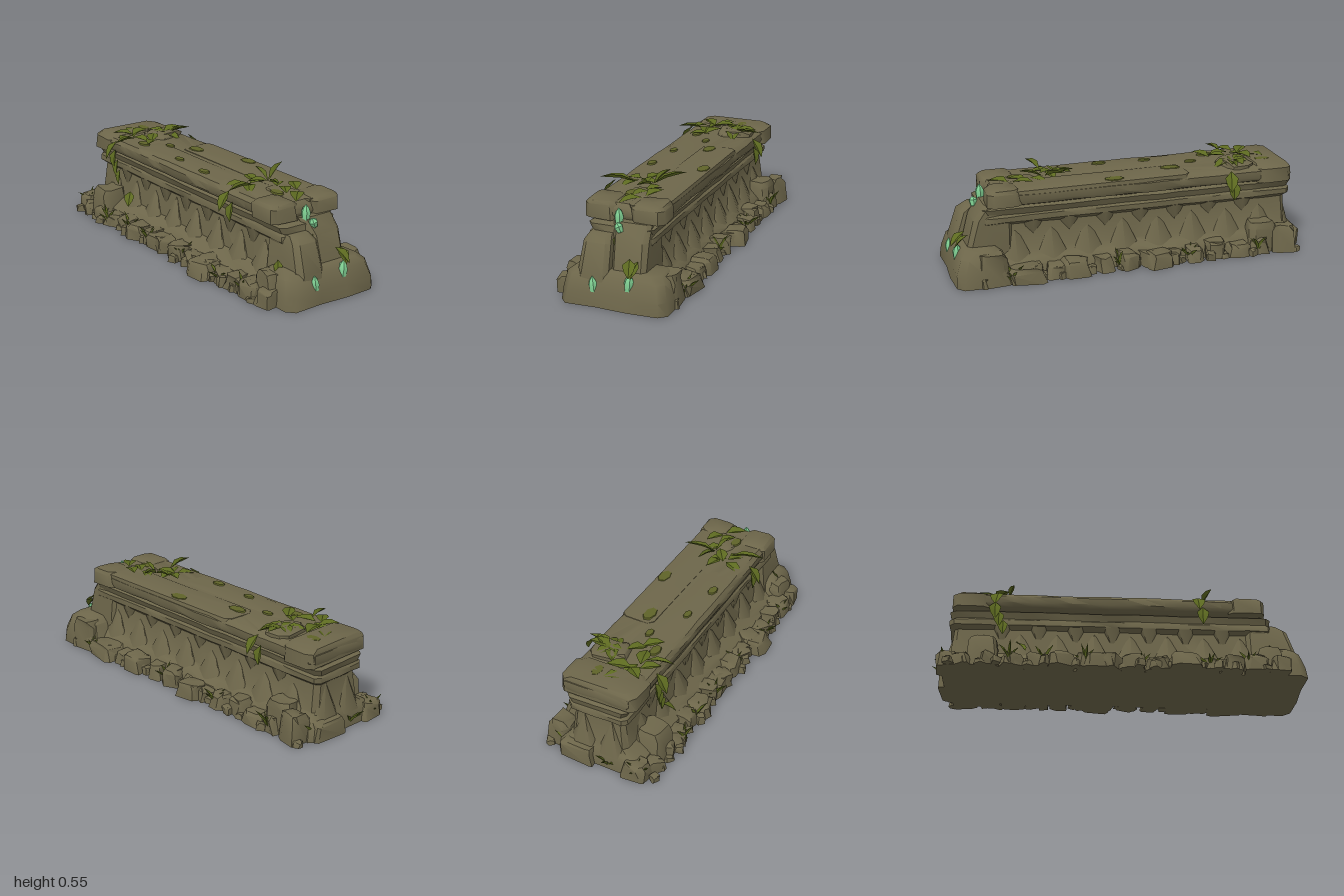
import * as THREE from 'three';
import { mergeGeometries, toCreasedNormals } from 'three/addons/utils/BufferGeometryUtils.js';

const mat = (name, color, side = THREE.FrontSide) => {
  const m = new THREE.MeshStandardMaterial({ color, side });
  m.name = name;
  return m;
};

// Small seeded generator
let seed = 7;
const rnd = () => (seed = (seed * 16807) % 2147483647) / 2147483647;
const jit = (a) => (rnd() - 0.5) * 2 * a;

// Plan outline: a rectangle with cut corners and subdivided sides
function ring(x0, x1, z0, z1, c, nx, nz) {
  const p = [];
  const side = (ax, az, bx, bz, n) => {
    for (let i = 0; i <= n; i++) p.push([ax + (bx - ax) * i / n, az + (bz - az) * i / n]);
  };
  side(x1, z0 + c, x1, z1 - c, nz);
  side(x1 - c, z1, x0 + c, z1, nx);
  side(x0, z1 - c, x0, z0 + c, nz);
  side(x0 + c, z0, x1 - c, z0, nx);
  return p;
}

// Stack of plan outlines; levels are [y, x0, x1, z0, z1]
function loft(levels, { c = 0.02, nx = 1, nz = 1, j = 0, jy = 0, crease = 0.7 } = {}) {
  const rows = levels.map(([y, a, b, d, e], k) => ring(a, b, d, e, c, nx, nz)
    .map(([x, z]) => [x + jit(j), y + (k ? jit(jy) : 0), z + jit(j)]));
  const v = [], n = rows[0].length;
  const middle = (l) => [(l[1] + l[2]) / 2, l[0], (l[3] + l[4]) / 2];
  const bottom = middle(levels[0]), top = middle(levels[levels.length - 1]);
  const last = rows[rows.length - 1];
  for (let i = 0; i < n; i++) {
    const q = (i + 1) % n;
    for (let k = 0; k < rows.length - 1; k++) {
      const a = rows[k][i], b = rows[k + 1][i], d = rows[k + 1][q], e = rows[k][q];
      v.push(...a, ...b, ...d, ...a, ...d, ...e);
    }
    v.push(...top, ...last[q], ...last[i], ...bottom, ...rows[0][i], ...rows[0][q]);
  }
  const g = new THREE.BufferGeometry();
  g.setAttribute('position', new THREE.Float32BufferAttribute(v, 3));
  return toCreasedNormals(g, crease);
}

// Worn block standing at (x, y, z)
function block(x, y, z, w, h, d, turn = 0, taper = 0.08, rough = 0.012) {
  const lv = (t, s) => [h * t, -w / 2 * s, w / 2 * s, -d / 2 * s, d / 2 * s];
  const g = loft([lv(0, 1), lv(0.8, 1 - taper), lv(1, 0.85 - taper)],
    { c: Math.min(w, d) * 0.15, j: rough, jy: rough * 0.5, crease: 0.8 });
  return g.rotateY(turn).translate(x, y, z);
}

// Folded, drooping leaf along local +z
function leaf(x, y, z, yaw, pitch, len, wide = 0.3) {
  const w = len * wide, P = [
    [0, 0, 0], [-w, len * 0.08, len * 0.4], [0, -len * 0.04, len * 0.45],
    [w, len * 0.08, len * 0.4], [-w * 0.75, 0, len * 0.7], [w * 0.75, 0, len * 0.7], [0, -len * 0.18, len]];
  const g = new THREE.BufferGeometry();
  const F = [0, 1, 2, 0, 2, 3, 1, 4, 2, 2, 5, 3, 4, 6, 2, 2, 6, 5];
  g.setAttribute('position', new THREE.Float32BufferAttribute(F.flatMap((i) => P[i]), 3));
  g.computeVertexNormals();
  return g.rotateX(pitch).rotateY(yaw).translate(x, y, z);
}

export function createModel() {
  seed = 7;
  const root = new THREE.Group();
  const stone = mat('weathered stone', 0x6d664a);
  const green = mat('olive leaf', 0x5d6a20, THREE.DoubleSide);
  const moss = mat('moss', 0x5f6328);
  const jade = mat('pale green crystal', 0x7fcf92);
  const add = (name, geos, m) => {
    const mesh = new THREE.Mesh(mergeGeometries(geos), m);
    mesh.name = name;
    root.add(mesh);
  };

  // Wall core: plinth, recessed waist, belt moulding and coping
  add('wall', [loft([
    [0, -0.96, 0.95, -0.25, 0.24], [0.07, -0.955, 0.94, -0.24, 0.23],
    [0.1, -0.94, 0.9, -0.21, 0.19], [0.13, -0.92, 0.88, -0.18, 0.15],
    [0.28, -0.91, 0.84, -0.165, 0.13], [0.3, -0.935, 0.83, -0.19, 0.155],
    [0.33, -0.935, 0.83, -0.19, 0.155], [0.34, -0.925, 0.82, -0.18, 0.145],
    [0.375, -0.935, 0.82, -0.195, 0.16], [0.385, -0.915, 0.78, -0.175, 0.14],
    [0.4, -0.92, 0.77, -0.215, 0.175], [0.42, -0.925, 0.78, -0.225, 0.19],
    [0.455, -0.92, 0.77, -0.225, 0.19], [0.475, -0.9, 0.75, -0.2, 0.17]],
  { c: 0.025, nx: 16, nz: 4, j: 0.003, jy: 0.002 })], stone);

  // Coping slabs, end caps and broken ends
  add('coping', [
    block(-0.82, 0.39, -0.02, 0.2, 0.095, 0.44, 0, 0.02, 0.006),
    block(-0.62, 0.44, -0.1, 0.16, 0.06, 0.2, 0.1),
    block(0.22, 0.45, -0.125, 1.1, 0.034, 0.19, 0, 0.01, 0.005),
    block(-0.1, 0.45, 0.08, 0.8, 0.028, 0.18, 0, 0.01, 0.005),
    block(0.69, 0.39, 0.11, 0.2, 0.093, 0.17, 0, 0.02, 0.006),
    block(0.71, 0.4, -0.15, 0.18, 0.085, 0.18, 0, 0.02, 0.006),
    block(0.58, 0.43, -0.04, 0.2, 0.055, 0.16, 0.1)], stone);

  // Fan-shaped relief along both long faces and the intact end
  const fans = [];
  for (const [s, z] of [[1, 0.145], [-1, -0.175]]) {
    for (let i = 0; i < 8; i++) {
      const x = -0.75 + i * 0.2;
      const up = new THREE.ConeGeometry(0.105, 0.2, 6, 1).scale(1, 1, 0.5);
      fans.push(up.rotateX(-s * 0.1).translate(x, 0.18, z - s * 0.01));
      const rib = new THREE.ConeGeometry(0.06, 0.13, 5, 1).rotateX(Math.PI).scale(1, 1, 0.5);
      fans.push(rib.translate(x + 0.1, 0.235, z - s * 0.015));
    }
  }
  for (const z of [-0.1, 0.06]) {
    fans.push(new THREE.ConeGeometry(0.1, 0.2, 6, 1).scale(0.5, 1, 1).translate(-0.91, 0.18, z));
  }
  add('reliefFans', fans, stone);

  // Collapsed end: broad footing with two leaning piers
  add('collapsedEnd', [
    loft([[0, 0.68, 0.995, -0.335, 0.25], [0.07, 0.7, 0.985, -0.33, 0.24],
      [0.15, 0.73, 0.96, -0.31, 0.22], [0.18, 0.76, 0.93, -0.27, 0.18]],
    { c: 0.04, nx: 2, nz: 3, j: 0.006, crease: 0.9 }),
    loft([[0, 0.68, 0.98, -0.01, 0.19], [0.16, 0.68, 0.96, -0.005, 0.16],
      [0.31, 0.68, 0.91, 0, 0.15], [0.34, 0.68, 0.87, 0.015, 0.135]], { c: 0.025, j: 0.004 }),
    loft([[0, 0.66, 0.95, -0.2, 0], [0.18, 0.66, 0.91, -0.19, 0],
      [0.32, 0.66, 0.87, -0.185, 0.01], [0.4, 0.66, 0.81, -0.18, 0.03]], { c: 0.025, j: 0.004 })], stone);

  // Large fallen blocks: x, z, width, height, depth
  add('fallenBlocks', [
    [-0.74, 0.21, 0.17, 0.18, 0.15], [-0.74, -0.23, 0.16, 0.17, 0.14],
    [-0.93, 0.21, 0.11, 0.09, 0.13], [-0.94, -0.12, 0.1, 0.1, 0.2],
    [-0.86, -0.27, 0.13, 0.15, 0.12], [-0.13, 0.26, 0.15, 0.08, 0.12],
    [0.33, 0.28, 0.16, 0.08, 0.16], [0.8, 0.22, 0.14, 0.16, 0.1],
    [-0.12, -0.29, 0.15, 0.08, 0.13], [0.35, -0.28, 0.14, 0.09, 0.13],
    [0.62, -0.29, 0.19, 0.08, 0.13], [0.8, -0.28, 0.16, 0.17, 0.11]]
    .map(([x, z, w, h, d]) => block(x, 0, z, w, h, d, jit(0.12))), stone);

  // Rubble and chips strewn along both sides
  const rubble = [], chips = [];
  for (const s of [1, -1]) {
    for (let i = 0; i < 14; i++) {
      rubble.push(block(-0.85 + i * 0.13, 0, s * (0.25 + jit(0.015)),
        0.11 + jit(0.02), 0.08 + jit(0.015), 0.12 + jit(0.02), jit(0.5)));
    }
    for (let i = 0; i < 22; i++) {
      chips.push(block(-0.92 + i * 0.084, 0, s * (0.27 + rnd() * 0.05),
        0.05, 0.025 + rnd() * 0.03, 0.045, rnd() * 3, 0.1, 0.006));
    }
  }
  add('rubble', rubble, stone);
  add('stoneChips', chips, stone);

  // Leaf rosettes on the coping: x, y, z, count
  const leaves = [];
  for (const [x, y, z, n] of [[-0.68, 0.485, 0.08, 5], [-0.61, 0.495, -0.11, 7], [-0.53, 0.485, 0.03, 2],
    [-0.82, 0.485, -0.05, 1], [0.4, 0.485, 0.04, 5], [0.53, 0.485, -0.05, 2], [0.65, 0.485, -0.06, 2]]) {
    for (let k = 0; k < n; k++) {
      leaves.push(leaf(x + jit(0.025), y, z + jit(0.025), k * 6.28 / n + 0.8 + jit(0.3), -0.15 + jit(0.2), 0.12 + jit(0.015)));
    }
  }
  // Leaves hanging over the edges: x, side, count
  for (const [x, s, n] of [[-0.67, 1, 4], [0.42, 1, 2], [-0.56, -1, 2]]) {
    for (let k = 0; k < n; k++) {
      leaves.push(leaf(x + jit(0.03), 0.475 - k * 0.055, s > 0 ? 0.19 : -0.23,
        (s > 0 ? 0 : Math.PI) + jit(0.3), 0.8 + Math.min(k, 1) * 0.45, 0.12 - k * 0.01));
    }
  }
  // Single leaves at the collapsed end and the foot
  leaves.push(leaf(0.83, 0.36, -0.035, 1.57, 1.1, 0.12), leaf(0.91, 0.25, -0.11, 1.9, 0.5, 0.11),
    leaf(0.9, 0.24, -0.15, 1.4, 0.6, 0.1), leaf(0.8, 0.21, 0.17, 0.9, 0.9, 0.08), leaf(-0.57, 0.19, 0.17, 0.8, 0.6, 0.1));
  add('leaves', leaves, green);

  // Long arching blades on the coping
  add('archingBlades', [
    leaf(0.45, 0.49, -0.04, 3.6, -0.5, 0.18, 0.09), leaf(0.45, 0.49, -0.04, 4.5, -0.4, 0.16, 0.09),
    leaf(0.46, 0.49, -0.04, 1.3, -0.4, 0.13, 0.1), leaf(0.45, 0.49, 0.06, 0.2, -0.25, 0.19, 0.09),
    leaf(-0.62, 0.49, 0.1, 0.2, -0.2, 0.15, 0.1), leaf(-0.6, 0.49, -0.12, 3, -0.3, 0.14, 0.1)], green);

  // Grass tufts at the foot
  const blades = [];
  for (const [x, z] of [[-0.95, 0.22], [-0.95, 0.05], [-0.93, -0.2], [-0.6, 0.31], [-0.42, 0.28], [-0.2, 0.29],
    [0.1, 0.27], [0.46, 0.29], [0.67, 0.29], [0.7, -0.32], [0.1, -0.28], [-0.3, -0.29], [-0.7, -0.3]]) {
    for (let k = 0; k < 6; k++) {
      blades.push(leaf(x, 0.015, z, k * 1.05 + rnd(), -1.1 + jit(0.25), 0.07 + rnd() * 0.05, 0.08));
    }
  }
  add('grassTufts', blades, green);

  // Moss patches on the coping
  add('mossPatches', [[-0.8, -0.08, 0.04], [-0.25, -0.08, 0.05], [-0.4, 0, 0.03], [0.1, -0.18, 0.05],
    [0.1, 0.12, 0.035], [-0.16, 0.1, 0.03], [0.6, 0.02, 0.04], [-0.52, 0.1, 0.04]]
    .map(([x, z, r]) => new THREE.CylinderGeometry(r * 0.9, r, 0.008, 7).scale(1.2, 1, 0.7).translate(x, 0.482, z)), moss);

  // Pointed crystals: x, y centre, z, height, radius, lean
  add('crystals', [[0.8, 0.415, -0.005, 0.11, 0.025, 0], [0.84, 0.38, -0.022, 0.055, 0.024, 0.4],
    [0.965, 0.1, 0.065, 0.11, 0.024, 0.1], [0.955, 0.13, -0.125, 0.12, 0.027, -0.1], [0.775, 0.065, 0.235, 0.05, 0.016, 0.5]]
    .map(([x, y, z, h, r, lean]) => {
      const pts = [[0, -0.5], [0.65, -0.45], [1, 0.1], [0.7, 0.3], [0, 0.5]].map(([a, b]) => new THREE.Vector2(a * r, b * h));
      return toCreasedNormals(new THREE.LatheGeometry(pts, 6), 0.5).rotateX(lean).translate(x, y, z);
    }), jade);

  return root;
}
